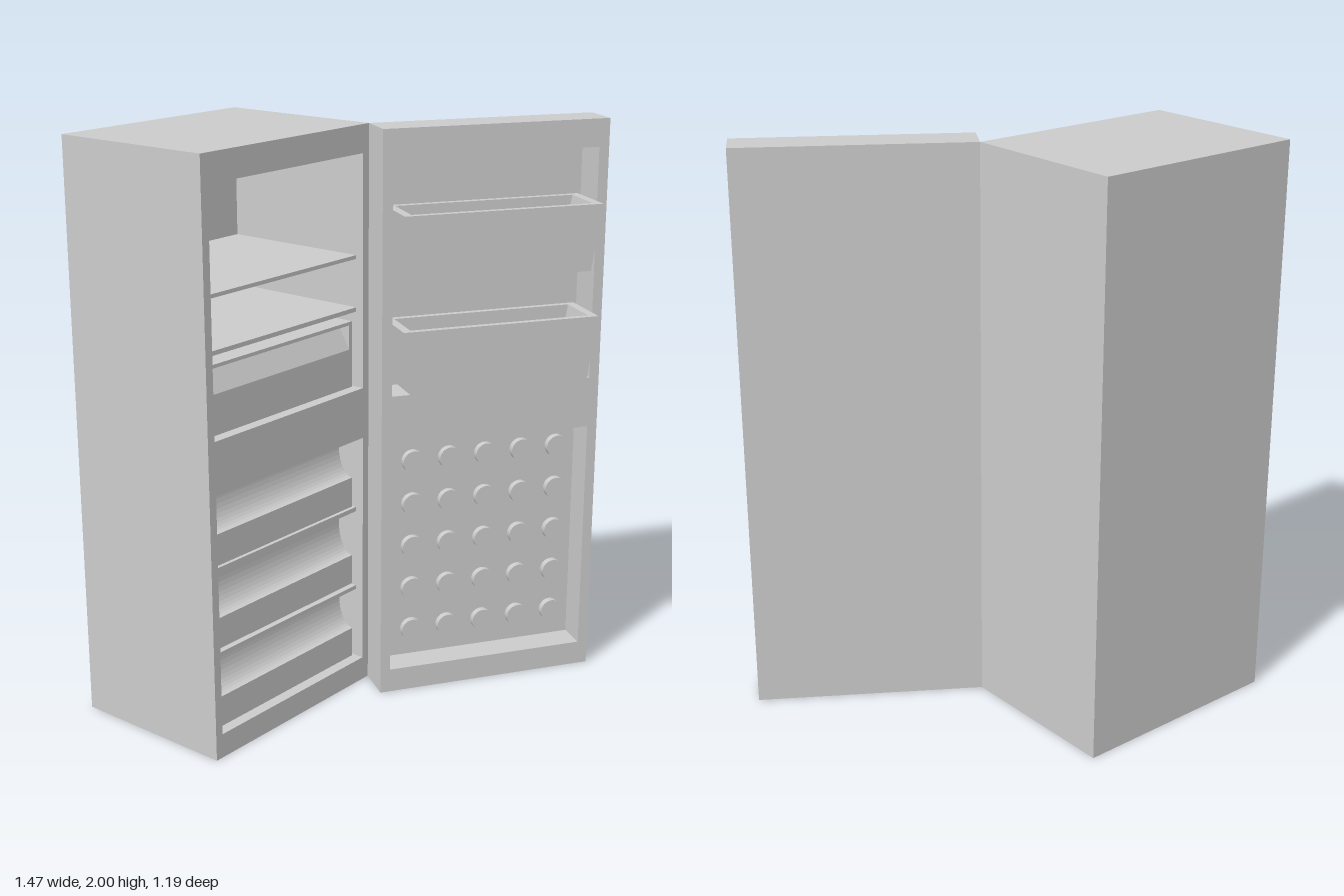
import * as THREE from 'three';

const mat = new THREE.MeshStandardMaterial({ color: 0xcccccc });
const flat = new THREE.MeshStandardMaterial({ color: 0xcccccc, flatShading: true });

function add(parent, name, geometry, material = mat) {
  const mesh = new THREE.Mesh(geometry, material);
  mesh.name = name;
  parent.add(mesh);
  return mesh;
}

// Box given by its minimum and maximum corners
function box(parent, name, [x0, y0, z0], [x1, y1, z1]) {
  const mesh = add(parent, name, new THREE.BoxGeometry(x1 - x0, y1 - y0, z1 - z0));
  mesh.position.set((x0 + x1) / 2, (y0 + y1) / 2, (z0 + z1) / 2);
  return mesh;
}

function rectangle(T, x0, y0, x1, y1) {
  const r = new T();
  r.moveTo(x0, y0); r.lineTo(x1, y0); r.lineTo(x1, y1); r.lineTo(x0, y1); r.closePath();
  return r;
}

// Full-height frame with an upper and a lower opening
function frame(x0, x1, inset, depth) {
  const shape = rectangle(THREE.Shape, x0, 0, x1, 2);
  for (const [y0, y1] of [[0.085, 0.92], [1.1, 1.905]])
    shape.holes.push(rectangle(THREE.Path, x0 + inset, y0, x1 - inset, y1));
  return new THREE.ExtrudeGeometry(shape, { depth, bevelEnabled: false });
}

// Side profile (z, y) drawn out along x from x0 to x1
function alongX(parent, name, points, x0, x1) {
  const shape = new THREE.Shape(points.map(([z, y]) => new THREE.Vector2(-z, y)));
  const geometry = new THREE.ExtrudeGeometry(shape, { depth: x1 - x0, bevelEnabled: false });
  geometry.rotateY(Math.PI / 2);
  geometry.scale(1, 1, 1);
  geometry.translate(x0, 0, 0);
  return add(parent, name, geometry);
}

// Open door bin, narrower at the bottom
function bin(parent, y0, y1) {
  const x0 = 0.05, x1 = 0.755, wall = 0.03, taper = 0.037, floor = 0.02;
  const z0 = 0.013, z1 = 0.216, skin = 0.022;
  const t = taper * (y1 - y0 - floor) / (y1 - y0);
  const group = new THREE.Group();
  group.name = 'doorBin';
  const slab = (points, depth, z, name) => {
    const g = new THREE.ExtrudeGeometry(new THREE.Shape(points.map(p => new THREE.Vector2(...p))), { depth, bevelEnabled: false });
    g.translate(0, 0, z);
    add(group, name, g, flat);
  };
  const outline = [[x0 + taper, y0], [x1 - taper, y0], [x1, y1], [x0, y1]];
  slab(outline, skin, z1 - skin, 'binFront');
  slab(outline, skin, z0, 'binBack');
  // floor and both slanted sides in one U-shaped section
  slab([...outline.slice(0, 3), [x1 - wall, y1], [x1 - wall - t, y0 + floor],
    [x0 + wall + t, y0 + floor], [x0 + wall, y1], [x0, y1]], z1 - z0 - 2 * skin, z0 + skin, 'binSidesAndFloor');
  parent.add(group);
}

export function createModel() {
  const model = new THREE.Group();
  model.name = 'refrigerator';

  // Cabinet shell
  const cabinet = new THREE.Group();
  cabinet.name = 'cabinet';
  model.add(cabinet);
  const shell = add(cabinet, 'cabinetShell', frame(-0.735, 0.06, 0.03, 0.57));
  shell.position.z = -0.57;
  box(cabinet, 'cabinetBack', [-0.735, 0, -0.6], [0.06, 2, -0.57]);

  // Shelves of both compartments
  for (const [y0, y1] of [[1.547, 1.56], [1.365, 1.38], [0.642, 0.658], [0.345, 0.36]])
    box(cabinet, 'shelf', [-0.705, y0, -0.57], [0.03, y1, -0.03]);

  // Upper drawer with a slanted grip recess between solid ends
  const L = -0.695, R = 0.02;
  const upperDrawer = new THREE.Group();
  upperDrawer.name = 'upperDrawer';
  cabinet.add(upperDrawer);
  alongX(upperDrawer, 'drawerFront', [[-0.55, 1.1], [-0.04, 1.1], [-0.04, 1.235], [-0.09, 1.32],
    [-0.04, 1.32], [-0.04, 1.332], [-0.55, 1.332]], L + 0.015, R - 0.015);
  box(upperDrawer, 'drawerEnd', [L, 1.1, -0.55], [L + 0.015, 1.332, -0.04]);
  box(upperDrawer, 'drawerEnd', [R - 0.015, 1.1, -0.55], [R, 1.332, -0.04]);

  // Lower drawers with a hollowed upper front
  for (const [y, top] of [[0.085, 0.338], [0.368, 0.625], [0.66, 0.915]]) {
    const low = y + 0.108, arc = [];
    for (let i = 0; i <= 10; i++) {
      const a = (i / 10) * Math.PI / 2;
      arc.push([-0.04 - 0.06 * Math.sin(a), low + 0.106 * (1 - Math.cos(a))]);
    }
    alongX(cabinet, 'lowerDrawer', [[-0.55, y], [-0.04, y], ...arc, [-0.1, top], [-0.55, top]], L, R);
  }

  // Open door, hinged at the cabinet's front left edge
  const door = new THREE.Group();
  door.name = 'door';
  door.position.x = 0.06;
  door.rotation.y = -0.572;
  model.add(door);
  const doorFrame = add(door, 'doorFrame', frame(0, 0.803, 0.036, 0.1295));
  doorFrame.position.z = 0.012;
  box(door, 'doorPanel', [0, 0, 0], [0.803, 2, 0.012]);
  box(door, 'lowerDoorLining', [0.036, 0.085, 0.012], [0.767, 0.92, 0.035]);

  // Door bins
  bin(door, 1.5, 1.727);
  bin(door, 1.113, 1.34);

  // Grid of round studs on the lower lining
  const stud = new THREE.CylinderGeometry(0.04, 0.04, 0.024, 24).rotateX(Math.PI / 2);
  for (let row = 0; row < 5; row++)
    for (let col = 0; col < 5; col++)
      add(door, 'stud', stud).position.set(0.15 + 0.136 * col, 0.186 + 0.16 * row, 0.047);

  return model;
}
